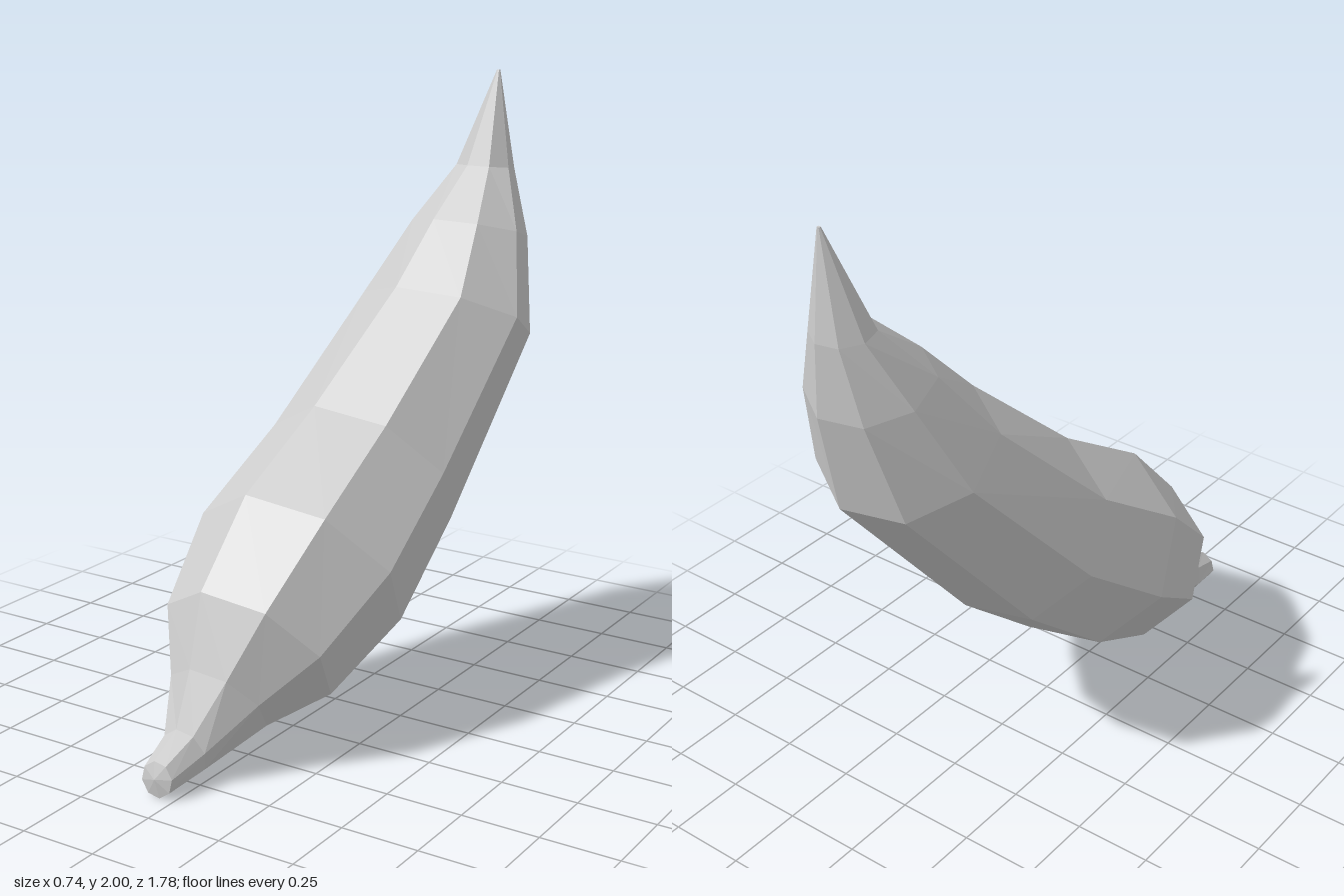
import * as THREE from 'three';

const SIDES = 8;
const PHASE = THREE.MathUtils.degToRad(12);

// Cross-sections from stem to tip:
// [centre x, half width, upper z, upper y, lower z, lower y]
const RINGS = [
  [-0.06, 0.056, 0.875, 0.11, 0.885, 0.0],
  [-0.06, 0.08, 0.76, 0.165, 0.73, 0.012],
  [-0.045, 0.165, 0.685, 0.33, 0.49, 0.075],
  [-0.035, 0.29, 0.60, 0.545, 0.28, 0.095],
  [-0.015, 0.36, 0.37, 0.79, -0.02, 0.24],
  [0.01, 0.33, 0.03, 1.0, -0.33, 0.50],
  [0.08, 0.295, -0.34, 1.33, -0.81, 1.09],
  [0.09, 0.20, -0.53, 1.53, -0.885, 1.43],
  [0.095, 0.10, -0.71, 1.69, -0.89, 1.67],
  [0.113, 0.006, -0.842, 2.0, -0.852, 2.0],
];

// Faceted skin lofted through tilted octagons
function loft(rings, startCap, endCap) {
  const positions = [];
  const indices = [];
  const reach = Math.cos(PHASE); // height of the topmost corner on a unit octagon
  for (const [cx, hw, z1, y1, z0, y0] of rings) {
    for (let k = 0; k < SIDES; k++) {
      const a = PHASE + (k * Math.PI * 2) / SIDES;
      const s = Math.sin(a) / reach;
      positions.push(
        cx + hw * Math.cos(a),
        (y1 + y0) / 2 + (s * (y1 - y0)) / 2,
        (z1 + z0) / 2 + (s * (z1 - z0)) / 2,
      );
    }
  }
  const start = positions.length / 3;
  const last = (rings.length - 1) * SIDES;
  positions.push(...startCap, ...endCap);
  for (let k = 0; k < SIDES; k++) {
    const n = (k + 1) % SIDES;
    for (let r = 0; r < last; r += SIDES) {
      const a = r + k, b = r + n, c = b + SIDES, d = a + SIDES;
      indices.push(a, d, c, a, c, b);
    }
    indices.push(start, k, n, start + 1, last + n, last + k);
  }
  const indexed = new THREE.BufferGeometry();
  indexed.setAttribute('position', new THREE.Float32BufferAttribute(positions, 3));
  indexed.setIndex(indices);
  const geometry = indexed.toNonIndexed();
  geometry.computeVertexNormals();
  return geometry;
}

export function createModel() {
  const group = new THREE.Group();
  group.name = 'vegetable';

  // Curved body with a blunt stem and a pointed tip
  const material = new THREE.MeshStandardMaterial({ color: 0xcccccc, flatShading: true });
  const body = new THREE.Mesh(loft(RINGS, [-0.06, 0.06, 0.893], [0.113, 2.0, -0.847]), material);
  body.name = 'body';
  group.add(body);
  return group;
}
